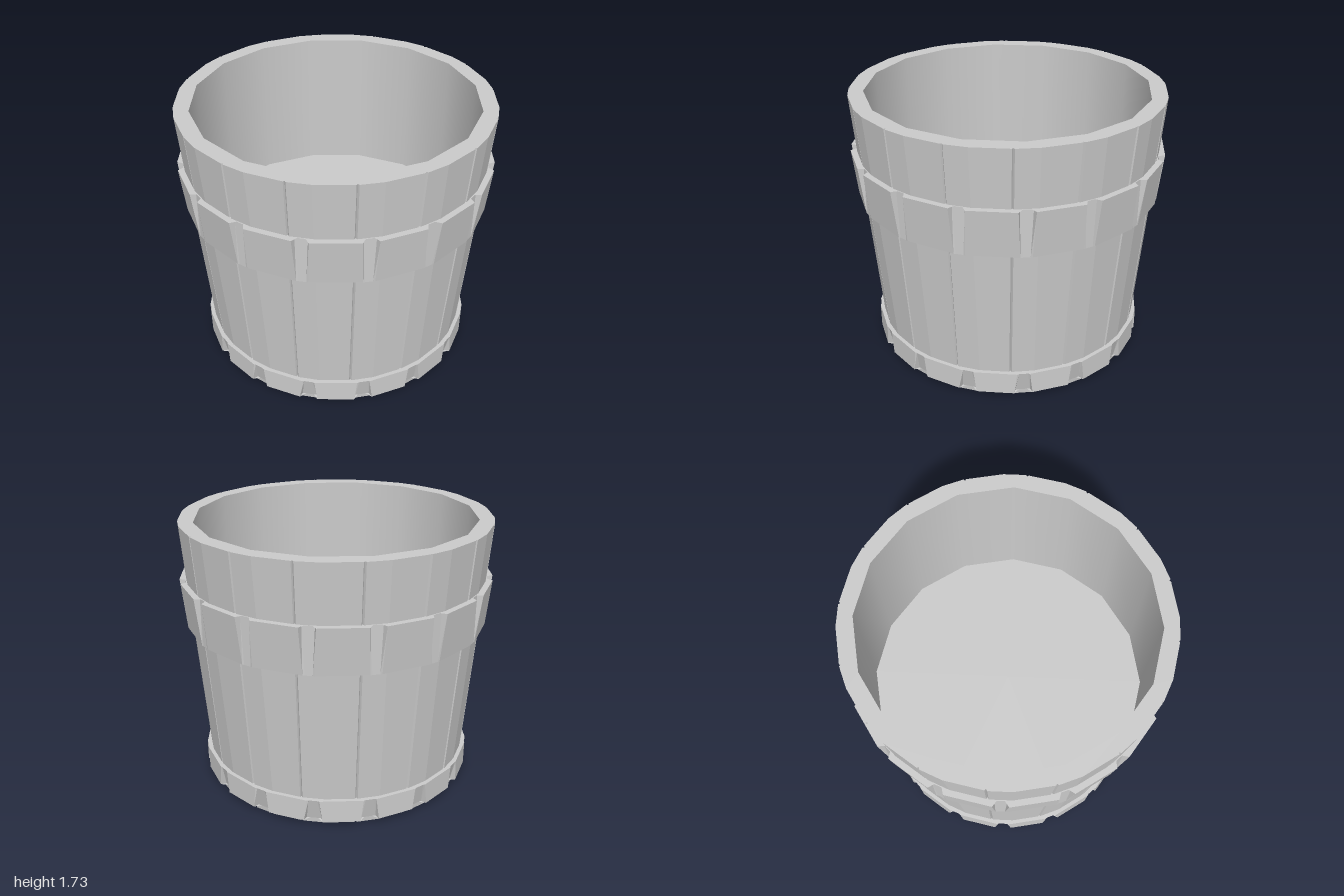
import * as THREE from 'three';

const SIDES = 16;
const material = new THREE.MeshStandardMaterial({ color: 0xcccccc, side: THREE.DoubleSide });

// Ring of points repeated around the axis; each corner is [tangential offset, radial distance]
function ring(y, corners) {
  const pts = [];
  for (let k = 0; k < SIDES; k++) {
    const a = (k / SIDES) * Math.PI * 2, s = Math.sin(a), c = Math.cos(a);
    for (const [t, r] of corners) pts.push([s * r + c * t, y, c * r - s * t]);
  }
  return pts;
}

// Flat-shaded skin through rings listed from bottom to top
function loft(name, rings) {
  const pos = [];
  for (let j = 0; j < rings.length - 1; j++) {
    const lo = rings[j], hi = rings[j + 1], n = lo.length;
    for (let i = 0; i < n; i++) {
      const m = (i + 1) % n;
      pos.push(...lo[i], ...lo[m], ...hi[m], ...lo[i], ...hi[m], ...hi[i]);
    }
  }
  const geo = new THREE.BufferGeometry();
  geo.setAttribute('position', new THREE.Float32BufferAttribute(pos, 3));
  geo.computeVertexNormals();
  const mesh = new THREE.Mesh(geo, material);
  mesh.name = name;
  return mesh;
}

// Stave section: narrow corner facet with a thin groove along one edge
const staveRing = (y, r) => ring(y, [[-0.085, r - 0.003], [-0.078, r - 0.014], [-0.07, r], [0.07, r]]);
const plainRing = (y, r) => ring(y, Array(4).fill([0, r]));

// Hoop section: flat plates parted by a recess of half width g at every corner
const hoopRing = (y, r, g, recess) =>
  ring(y, [[-g, r], [-g + 0.012, recess], [g - 0.012, recess], [g, r]]);

export function createModel() {
  const group = new THREE.Group();
  group.name = 'bucket';
  const topY = 1.73, innerR = 0.895, floorY = 0.8;

  // Tapered staves with closed base and flat rim
  group.add(loft('staves', [
    plainRing(0, 0), staveRing(0, 0.85), staveRing(topY, 0.986), plainRing(topY, innerR),
  ]));

  // Upper hoop: flares upward, recesses deepen toward the top
  group.add(loft('upperHoop', [
    plainRing(1.06, 0.92), hoopRing(1.06, 0.97, 0.035, 0.968),
    hoopRing(1.36, 0.999, 0.05, 0.963), plainRing(1.36, 0.93),
  ]));

  // Lower hoop: upright, recesses deepen toward the bottom
  group.add(loft('lowerHoop', [
    plainRing(0.035, 0.83), hoopRing(0.035, 0.894, 0.058, 0.858),
    hoopRing(0.18, 0.895, 0.04, 0.891), plainRing(0.18, 0.84),
  ]));

  // Smooth upright inner wall
  const wall = new THREE.Mesh(
    new THREE.CylinderGeometry(innerR, innerR, topY - floorY, SIDES, 1, true), material.clone());
  wall.material.side = THREE.BackSide;
  wall.position.y = (topY + floorY) / 2;
  wall.name = 'innerWall';
  group.add(wall);

  // Inside floor
  const floor = new THREE.Mesh(new THREE.CircleGeometry(innerR, SIDES), material);
  floor.rotation.x = -Math.PI / 2;
  floor.position.y = floorY;
  floor.name = 'innerFloor';
  group.add(floor);

  return group;
}
